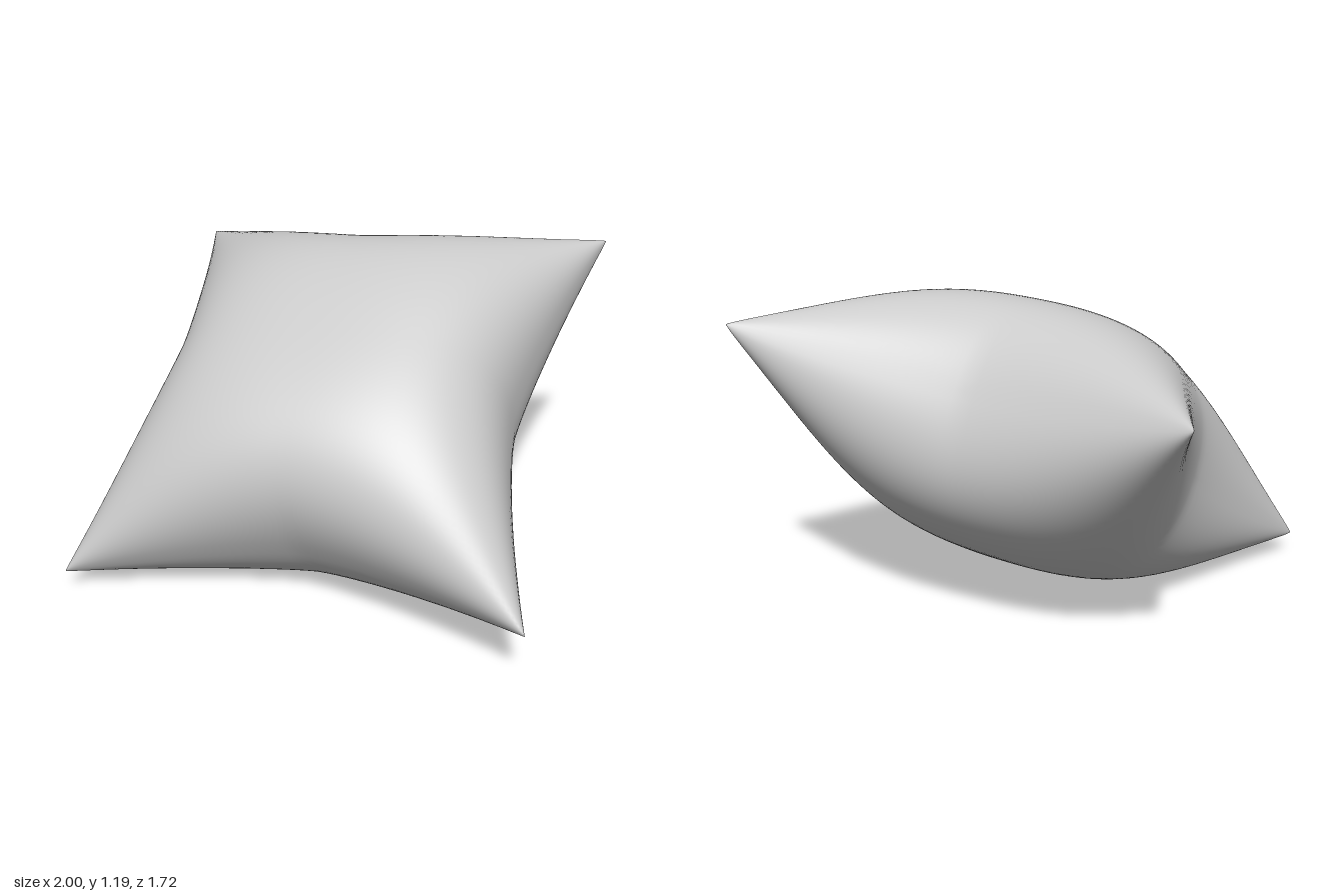
import * as THREE from 'three';
import { mergeVertices } from 'three/addons/utils/BufferGeometryUtils.js';

const HALF = 0.87;    // half the side between corner tips
const LOFT = 0.485;   // half thickness at the centre
const PINCH = 0.24;   // how far the edge middles pull in
const THIN = 0.3;     // extra flattening towards the corners
const SEGMENTS = 64;

// Rounded cross-section, full in the middle and steep at the seam
const bulge = (t) => Math.pow(Math.max(0, 1 - Math.pow(Math.abs(t), 2.3)), 0.43);

// Pull-in along an edge: none at the centre, strongest and sharpest at the seam
const pull = (along, across) => {
  const reach = Math.abs(across);
  return 1 - PINCH * reach * (1 - Math.pow(Math.abs(along), 2 - 0.6 * reach));
};

// One face of the cushion, side = 1 (upper) or -1 (lower)
function addFace(side, positions, indices) {
  const start = positions.length / 3;
  const row = SEGMENTS + 1;
  const spread = (i) => Math.sin((i / SEGMENTS - 0.5) * Math.PI);
  for (let j = 0; j <= SEGMENTS; j++) {
    for (let i = 0; i <= SEGMENTS; i++) {
      const a = spread(i);
      const b = spread(j);
      positions.push(
        HALF * a * pull(b, a),
        HALF * b * pull(a, b),
        side * LOFT * bulge(a) * bulge(b) * (1 - THIN * a * a * b * b)
      );
      if (i === SEGMENTS || j === SEGMENTS) continue;
      const p = start + j * row + i;
      const q = p + row;
      if (side > 0) indices.push(p, p + 1, q + 1, p, q + 1, q);
      else indices.push(p, q + 1, p + 1, p, q, q + 1);
    }
  }
}

export function createModel() {
  const group = new THREE.Group();
  group.name = 'pillow';

  // Two faces joined along the seam
  const positions = [];
  const indices = [];
  addFace(1, positions, indices);
  addFace(-1, positions, indices);
  let geometry = new THREE.BufferGeometry();
  geometry.setAttribute('position', new THREE.Float32BufferAttribute(positions, 3));
  geometry.setIndex(indices);
  geometry = mergeVertices(geometry, 1e-5);

  // Lean the cushion back with a slight twist
  const across = new THREE.Vector3(0.985, 0.086, -0.138).normalize();
  const normal = new THREE.Vector3(-0.004, 0.861, 0.507);
  normal.addScaledVector(across, -normal.dot(across)).normalize();
  const up = new THREE.Vector3().crossVectors(normal, across);
  geometry.applyMatrix4(new THREE.Matrix4().makeBasis(across, up, normal));

  // Stand it on the ground
  geometry.computeBoundingBox();
  geometry.translate(0, -geometry.boundingBox.min.y, 0);
  geometry.computeVertexNormals();

  const material = new THREE.MeshStandardMaterial({ color: 0xcccccc });
  const cushion = new THREE.Mesh(geometry, material);
  cushion.name = 'cushion';
  group.add(cushion);
  return group;
}
